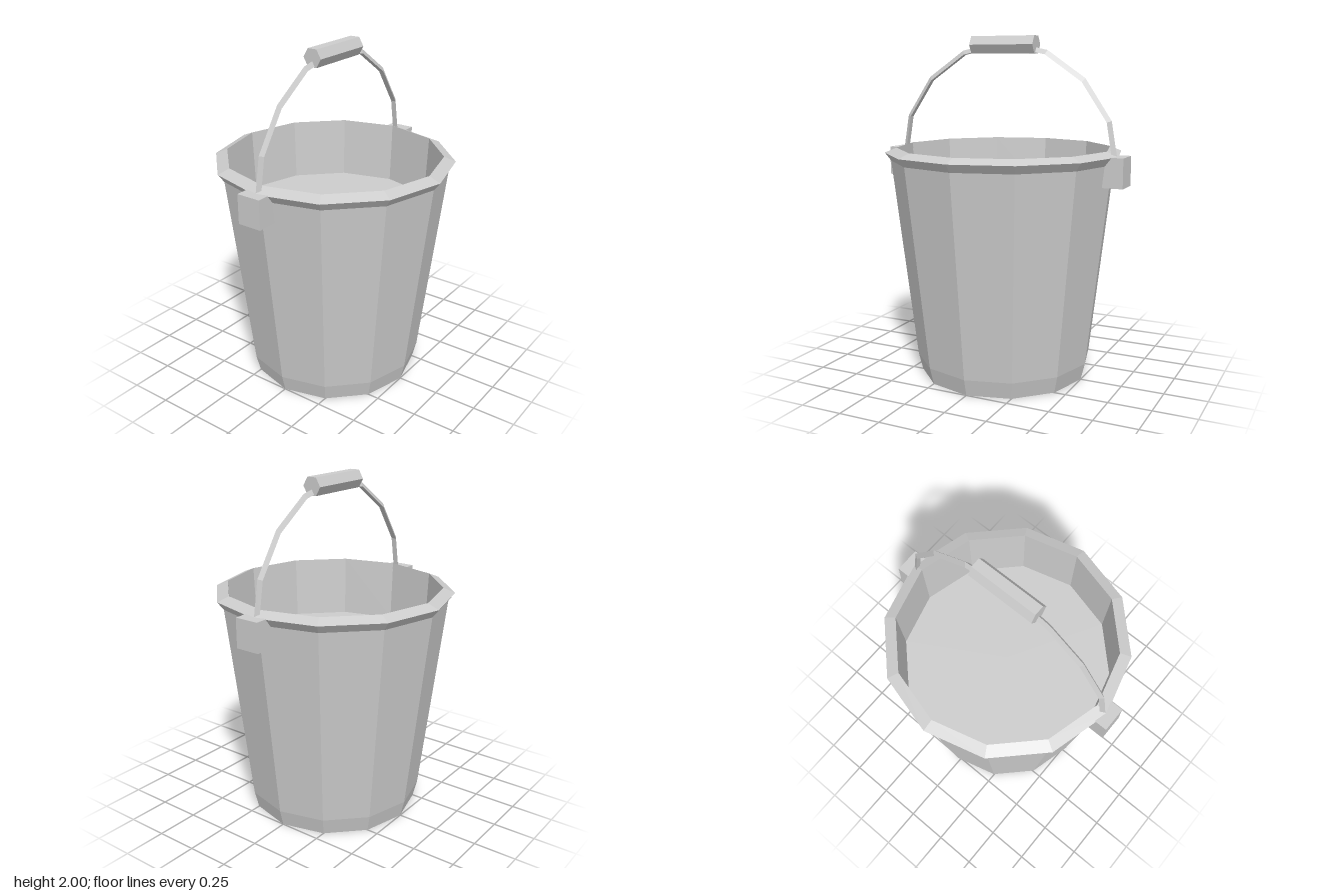
import * as THREE from 'three';

// Triangular wire: ridge on the outer curve, flat face on the inner curve
function wireGeometry(outer, inner, halfWidth) {
  const pos = [], idx = [];
  outer.forEach(([x, y], i) => {
    const [u, v] = inner[i];
    pos.push(x, y, 0, u, v, halfWidth, u, v, -halfWidth);
    if (i === outer.length - 1) return;
    for (let k = 0; k < 3; k++) {
      const a = i * 3 + k, b = i * 3 + (k + 1) % 3;
      idx.push(a, b, a + 3, b, b + 3, a + 3);
    }
  });
  const g = new THREE.BufferGeometry();
  g.setAttribute('position', new THREE.Float32BufferAttribute(pos, 3));
  g.setIndex(idx);
  g.computeVertexNormals();
  return g;
}

// Left half of a curve followed by its mirror image
const mirrored = (half) => [...half, ...half.map(([x, y]) => [-x, y]).reverse()];

export function createModel() {
  const model = new THREE.Group();
  model.name = 'bucket';
  const grey = new THREE.MeshStandardMaterial({ color: 0xcccccc, flatShading: true });
  grey.name = 'light grey';

  const add = (name, geometry, x = 0, y = 0, z = 0) => {
    const mesh = new THREE.Mesh(geometry, grey);
    mesh.name = name;
    mesh.position.set(x, y, z);
    model.add(mesh);
    return mesh;
  };

  // Twelve-sided shell: base, outer wall, flared rim, inner wall, raised floor
  const profile = [
    [0, 0], [0.5, 0], [0.525, 0.1], [0.664, 1.285], [0.7, 1.332],
    [0.632, 1.36], [0.615, 1.0], [0, 1.0],
  ].map(([r, y]) => new THREE.Vector2(r, y));
  add('shell', new THREE.LatheGeometry(profile, 12));

  // Handle mounts on both sides
  for (const [side, name] of [[1, 'leftMount'], [-1, 'rightMount']]) {
    add(name, new THREE.BoxGeometry(0.12, 0.17, 0.146), side * 0.69, 1.25, 0);
  }

  // Bent wire handle
  const outer = mirrored([[-0.692, 1.325], [-0.656, 1.53], [-0.498, 1.763], [-0.27, 1.918], [-0.19, 1.935]]);
  const inner = mirrored([[-0.666, 1.325], [-0.632, 1.522], [-0.482, 1.742], [-0.258, 1.894], [-0.19, 1.908]]);
  add('wireHandle', wireGeometry(outer, inner, 0.0165));

  // Hexagonal grip, flat side up
  const grip = new THREE.CylinderGeometry(0.0577, 0.0577, 0.4, 6);
  grip.rotateZ(Math.PI / 2);
  add('grip', grip, 0, 1.95, 0);

  return model;
}
